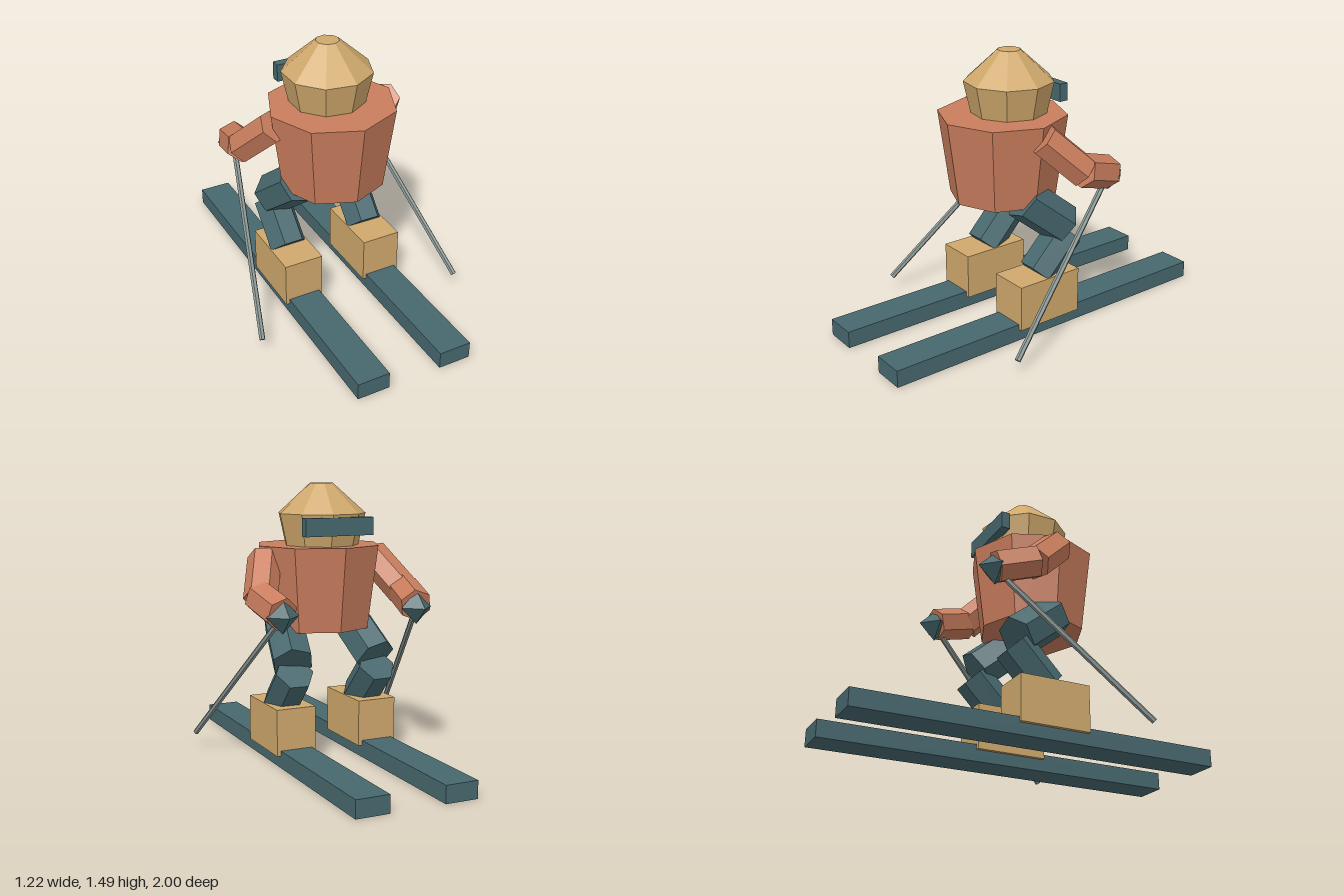
import * as THREE from 'three';

const mat = (name, color) => {
  const m = new THREE.MeshStandardMaterial({ color, flatShading: true });
  m.name = name;
  return m;
};

export function createModel() {
  const teal = mat('teal', 0x47686e);
  const tan = mat('tan', 0xcfa86c);
  const coral = mat('coral', 0xc97d5d);
  const grey = mat('poleGrey', 0x8a9794);
  const model = new THREE.Group();
  model.name = 'skier';

  const add = (name, geometry, material, x = 0, y = 0, z = 0) => {
    const mesh = new THREE.Mesh(geometry, material);
    mesh.name = name;
    mesh.position.set(x, y, z);
    model.add(mesh);
    return mesh;
  };

  // Six-sided prism between two joints
  const limb = (name, from, to, r, material, turn = 0) => {
    const a = new THREE.Vector3(...from);
    const b = new THREE.Vector3(...to);
    const dir = b.clone().sub(a);
    const mesh = add(name, new THREE.CylinderGeometry(r, r, dir.length(), 6, 1, false, turn), material);
    mesh.position.copy(a).add(b).multiplyScalar(0.5);
    mesh.quaternion.setFromUnitVectors(new THREE.Vector3(0, 1, 0), dir.normalize());
  };

  // Jacket
  add('torso', new THREE.CylinderGeometry(0.345, 0.285, 0.45, 8), coral, 0, 0.93, 0.105);

  // Hooded head: lower band and sloping crown
  add('headBand', new THREE.CylinderGeometry(0.24, 0.19, 0.225, 9, 1, false, Math.PI / 2), tan, 0, 1.2125, 0.06);
  add('headCrown', new THREE.CylinderGeometry(0.062, 0.24, 0.16, 9, 1, false, Math.PI / 2), tan, 0, 1.405, 0.06);
  add('goggles', new THREE.BoxGeometry(0.39, 0.095, 0.05), teal, 0, 1.262, -0.148);

  for (const [side, s] of [['left', 1], ['right', -1]]) {
    const p = (x, y, z) => [s * x, y, z];
    // Ski and boot
    add(side + 'Ski', new THREE.BoxGeometry(0.18, 0.093, 2), teal, s * 0.24, 0.0465, 0);
    add(side + 'Boot', new THREE.BoxGeometry(0.22, 0.25, 0.39), tan, s * 0.24, 0.19, 0.055);
    // Bent leg
    limb(side + 'Thigh', p(0.2, 0.74, 0.125), p(0.245, 0.55, -0.11), 0.115, teal);
    limb(side + 'Shin', p(0.243, 0.503, -0.13), p(0.24, 0.305, 0.06), 0.105, teal, Math.PI / 6);
    // Bent arm
    limb(side + 'UpperArm', p(0.32, 1.09, 0.09), p(0.42, 0.9, -0.1), 0.09, coral);
    limb(side + 'Forearm', p(0.42, 0.91, -0.09), p(0.385, 0.845, -0.3), 0.09, coral);
    // Glove and pole
    add(side + 'Glove', new THREE.OctahedronGeometry(0.09), teal, s * 0.385, 0.835, -0.305);
    limb(side + 'Pole', p(0.385, 0.835, -0.305), p(0.595, 0.08, 0.465), 0.016, grey);
  }
  return model;
}
